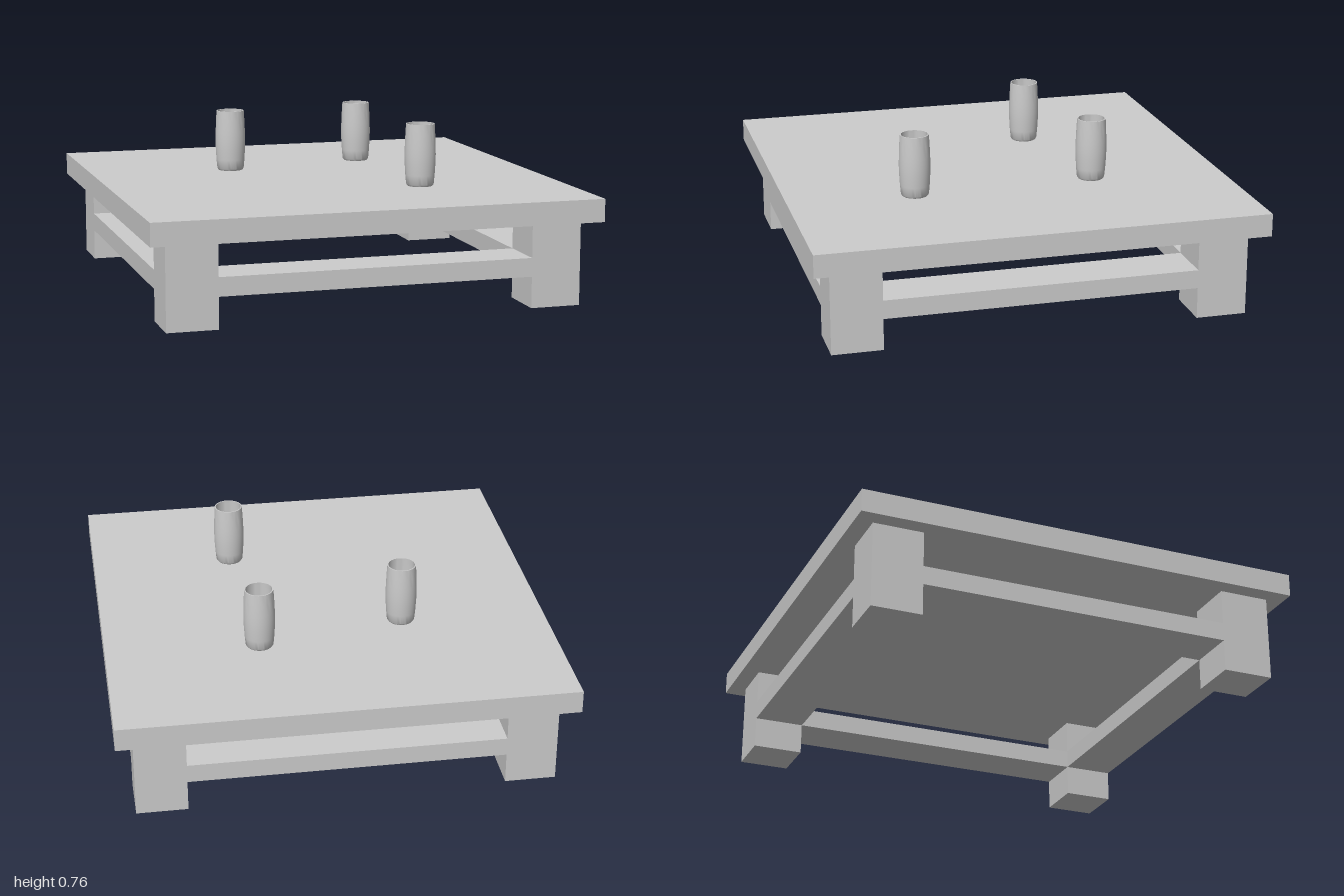
import * as THREE from 'three';
import { toCreasedNormals } from 'three/addons/utils/BufferGeometryUtils.js';

const material = new THREE.MeshStandardMaterial({ color: 0xcccccc });
const cupMaterial = new THREE.MeshStandardMaterial({ color: 0xcccccc, side: THREE.DoubleSide });

function addBox(parent, name, w, h, d, x, y, z) {
  const mesh = new THREE.Mesh(new THREE.BoxGeometry(w, h, d), material);
  mesh.name = name;
  mesh.position.set(x, y, z);
  parent.add(mesh);
}

export function createModel() {
  const model = new THREE.Group();
  model.name = 'lowTable';

  // Square slab top
  addBox(model, 'tableTop', 2, 0.102, 2, 0, 0.429, 0);

  // Four stout legs, joined by wide rails flush with their faces
  const legSize = 0.225, legHeight = 0.378, legCentre = 0.81;
  const railLength = 2 * legCentre - legSize, railHeight = 0.083, railY = 0.181;
  for (const s of [-1, 1]) {
    for (const t of [-1, 1]) {
      addBox(model, 'leg', legSize, legHeight, legSize, s * legCentre, legHeight / 2, t * legCentre);
    }
    addBox(model, 'crossRail', railLength, railHeight, legSize, 0, railY, s * legCentre);
    addBox(model, 'sideRail', legSize, railHeight, railLength, s * legCentre, railY, 0);
  }

  // Thin-walled, slightly barrel-shaped cups: outside, rim, inside, floor
  const profile = [
    [0, 0], [0.056, 0], [0.062, 0.008], [0.066, 0.05], [0.069, 0.1], [0.07, 0.14],
    [0.069, 0.18], [0.067, 0.23], [0.064, 0.28],
    [0.059, 0.28], [0.063, 0.2], [0.064, 0.14], [0.062, 0.07], [0.056, 0.012], [0, 0.01],
  ].map(([r, y]) => new THREE.Vector2(r, y));
  const cupGeometry = toCreasedNormals(new THREE.LatheGeometry(profile, 40), 0.6);
  for (const [x, z] of [[-0.345, -0.265], [0.315, -0.395], [0.355, 0.43]]) {
    const cup = new THREE.Mesh(cupGeometry, cupMaterial);
    cup.name = 'cup';
    cup.position.set(x, 0.48, z);
    model.add(cup);
  }

  return model;
}
